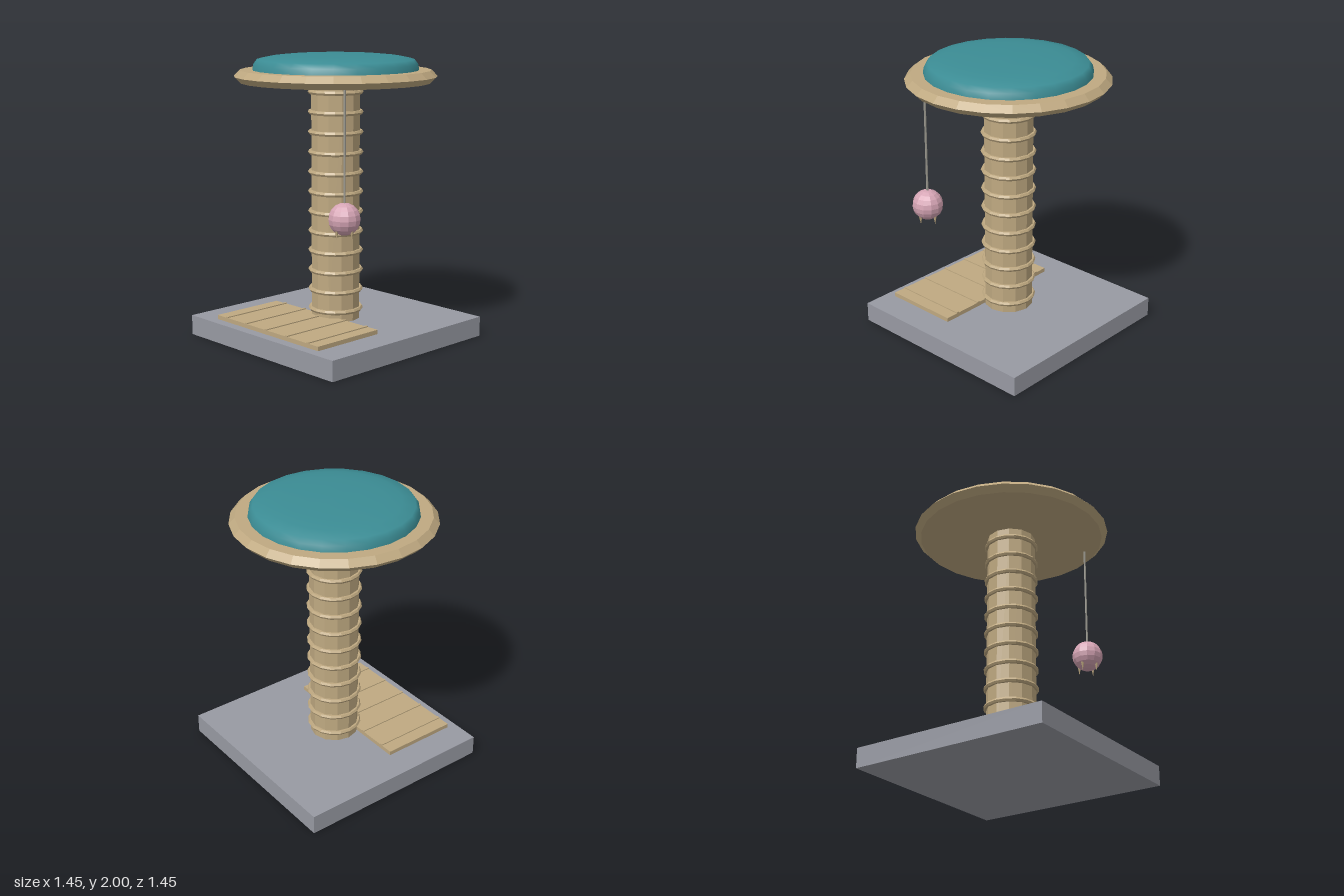
import * as THREE from 'three';

const mat = (name, color, flatShading = true) => {
  const m = new THREE.MeshStandardMaterial({ color, flatShading });
  m.name = name;
  return m;
};

export function createModel() {
  const root = new THREE.Group();
  root.name = 'scratchingPost';
  const tan = mat('sisalTan', 0xbfa981);
  const grey = mat('baseGrey', 0x989aa3);
  const teal = mat('cushionTeal', 0x3b8c94, false);
  const pink = mat('ballPink', 0xd6a5b5);
  const cord = mat('cordGrey', 0x97958c);

  const add = (name, geometry, material, x = 0, y = 0, z = 0, parent = root) => {
    const mesh = new THREE.Mesh(geometry, material);
    mesh.name = name;
    mesh.position.set(x, y, z);
    parent.add(mesh);
    return mesh;
  };
  const lathe = (points, sides) =>
    new THREE.LatheGeometry(points.map(([r, y]) => new THREE.Vector2(r, y)), sides);

  // Base slab
  add('base', new THREE.BoxGeometry(1.45, 0.14, 1.45), grey, 0, 0.07, 0);

  // Scratching mat with raised ribs
  add('mat', new THREE.BoxGeometry(1.035, 0.032, 0.55), tan, 0, 0.154, 0.38);
  for (let i = -2; i <= 2; i++) {
    add('matRib', new THREE.BoxGeometry(0.02, 0.012, 0.55), tan, i * 0.208, 0.171, 0.38);
  }

  // Post wrapped with evenly spaced rope rings
  add('post', new THREE.CylinderGeometry(0.173, 0.173, 1.68, 12), tan, 0, 0.97, 0);
  const ring = new THREE.TorusGeometry(0.176, 0.017, 6, 16);
  ring.rotateX(Math.PI / 2);
  for (let i = 0; i < 12; i++) add('ropeRing', ring, tan, 0, 0.21 + i * 0.139, 0);

  // Round platform with a bevelled rim
  add('platform', lathe([[0, 1.805], [0.658, 1.805], [0.7, 1.847], [0.658, 1.89], [0, 1.89]], 24), tan);

  // Domed cushion
  add('cushion', lathe([[0.574, 1.885], [0.565, 1.93], [0.54, 1.962], [0.45, 1.981],
    [0.34, 1.992], [0.18, 1.998], [0, 2]], 24), teal);

  // Hanging toy: cord, faceted ball and small tassels
  const toy = new THREE.Group();
  toy.name = 'hangingToy';
  toy.position.set(0.447, 0.955, 0.35);
  root.add(toy);
  add('cord', new THREE.CylinderGeometry(0.008, 0.008, 0.76, 6), cord, 0, 0.475, 0, toy);
  add('ball', new THREE.SphereGeometry(0.108, 12, 10), pink, 0, 0, 0, toy);
  const tassel = new THREE.ConeGeometry(0.016, 0.08, 6);
  tassel.rotateX(Math.PI);
  for (let i = 0; i < 4; i++) {
    const a = i * Math.PI / 2;
    add('tassel', tassel, tan, Math.cos(a) * 0.07, -0.09, Math.sin(a) * 0.07, toy);
  }
  return root;
}
